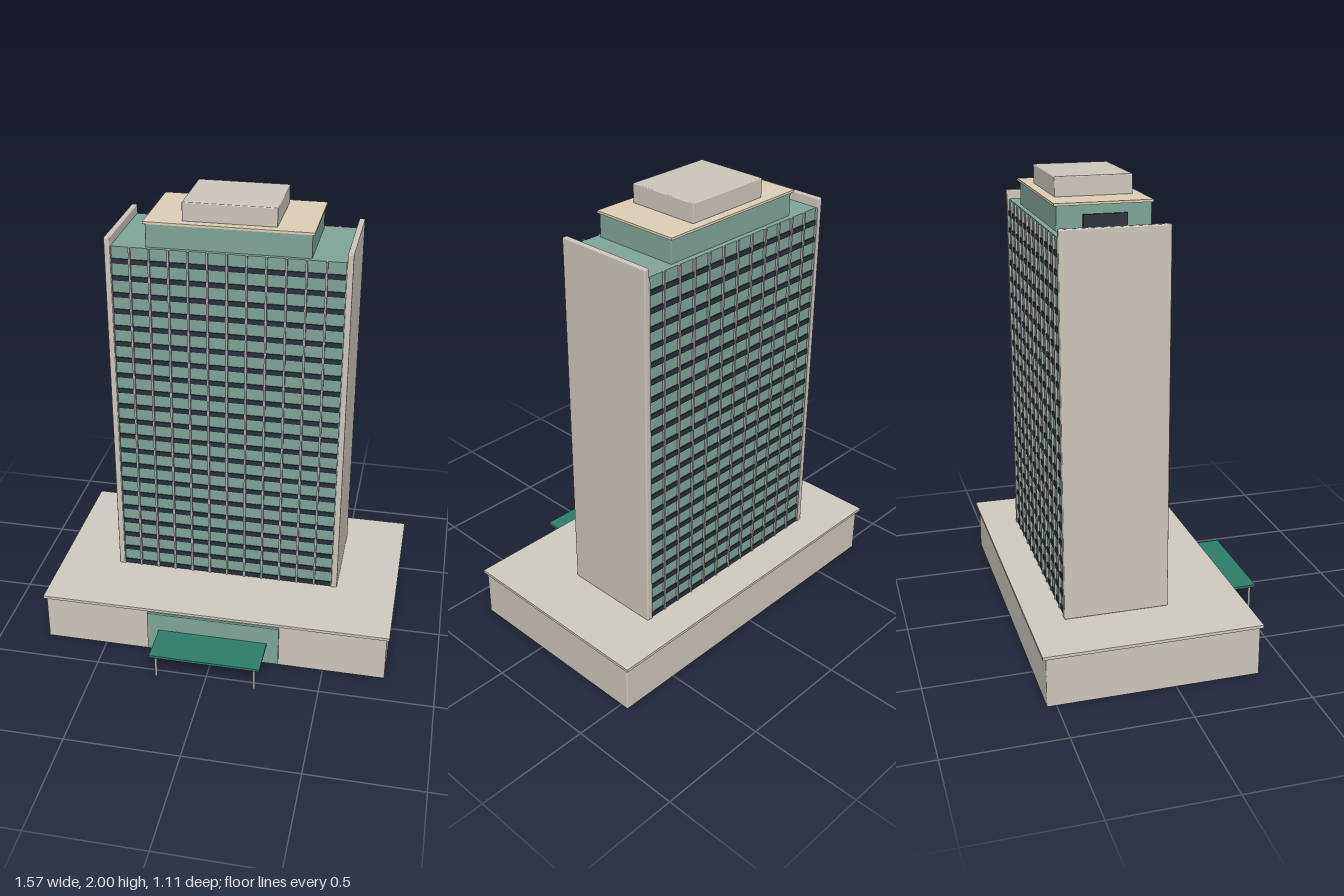
import * as THREE from 'three';
import { RoundedBoxGeometry } from 'three/addons/geometries/RoundedBoxGeometry.js';

const mat = (color) => new THREE.MeshStandardMaterial({ color });

export function createModel() {
  const model = new THREE.Group();
  const stone = mat(0xcdc6bd), slab = mat(0xcfcbc2), glass = mat(0x7fa598), dark = mat(0x27303a);
  const tan = mat(0xdccfb6), green = mat(0x2f7d69), metal = mat(0xa9a9a5);

  // Box given by its limits on each axis; a radius softens its edges
  function box(name, material, [x0, x1], [y0, y1], [z0, z1], radius = 0, parent = model) {
    const size = [x1 - x0, y1 - y0, z1 - z0];
    const geometry = radius ? new RoundedBoxGeometry(...size, 2, radius) : new THREE.BoxGeometry(...size);
    const mesh = new THREE.Mesh(geometry, material);
    mesh.position.set((x0 + x1) / 2, (y0 + y1) / 2, (z0 + z1) / 2);
    mesh.name = name;
    parent.add(mesh);
    return mesh;
  }

  function group(name) {
    const g = new THREE.Group();
    g.name = name;
    model.add(g);
    return g;
  }

  // Podium and its overhanging roof slab
  box('podium', stone, [-0.775, 0.775], [0, 0.22], [-0.54, 0.36], 0.005);
  box('podiumRoof', slab, [-0.786, 0.786], [0.218, 0.231], [-0.555, 0.37]);

  // Tower body between two solid end walls
  const base = 0.23, top = 1.81, zBack = -0.392, zFront = 0.032;
  box('towerBody', glass, [-0.492, 0.492], [base, top], [zBack, zFront]);
  for (const s of [-1, 1]) {
    const xs = [s * 0.491, s * 0.516].sort((a, b) => a - b);
    box('endWall', stone, xs, [base, 1.85], [-0.402, 0.044], 0.005);
  }

  // Window strips on every floor and upright fins, front and back
  const floors = 21, bays = 12, step = (top - base) / floors;
  const facades = [
    { name: 'front', strip: [zFront - 0.005, zFront + 0.005], fin: [zFront - 0.005, zFront + 0.01] },
    { name: 'back', strip: [zBack - 0.005, zBack + 0.005], fin: [zBack - 0.01, zBack + 0.005] },
  ];
  for (const f of facades) {
    const strips = group(f.name + 'WindowStrips');
    for (let i = 0; i < floors; i++) {
      const y = base + i * step;
      box('windowStrip', dark, [-0.491, 0.491], [y + 0.001, y + 0.023], f.strip, 0, strips);
    }
    const fins = group(f.name + 'Fins');
    for (let i = 0; i <= bays; i++) {
      const x = -0.492 + (i * 0.984) / bays;
      box('fin', metal, [x - 0.004, x + 0.004], [base, top], f.fin, 0, fins);
    }
  }

  // Rooftop plant level, side louver, flat roof and upper block
  box('plantLevel', glass, [-0.346, 0.346], [top - 0.005, 1.912], [-0.37, 0.015], 0.004);
  box('plantLouver', dark, [-0.355, -0.34], [top, 1.873], [-0.265, -0.085]);
  box('plantRoof', tan, [-0.355, 0.355], [1.91, 1.92], [-0.38, 0.019]);
  box('upperBlock', stone, [-0.198, 0.198], [1.918, 2], [-0.341, -0.019], 0.004);

  // Entrance glazing, canopy and posts
  box('entranceGlass', glass, [-0.3, 0.3], [0.012, 0.207], [0.35, 0.371]);
  box('canopy', green, [-0.247, 0.247], [0.11, 0.121], [0.36, 0.553]);
  for (const x of [-0.22, 0.22]) {
    const post = new THREE.Mesh(new THREE.CylinderGeometry(0.006, 0.006, 0.112, 16), metal);
    post.position.set(x, 0.056, 0.535);
    post.name = 'canopyPost';
    model.add(post);
  }
  return model;
}
